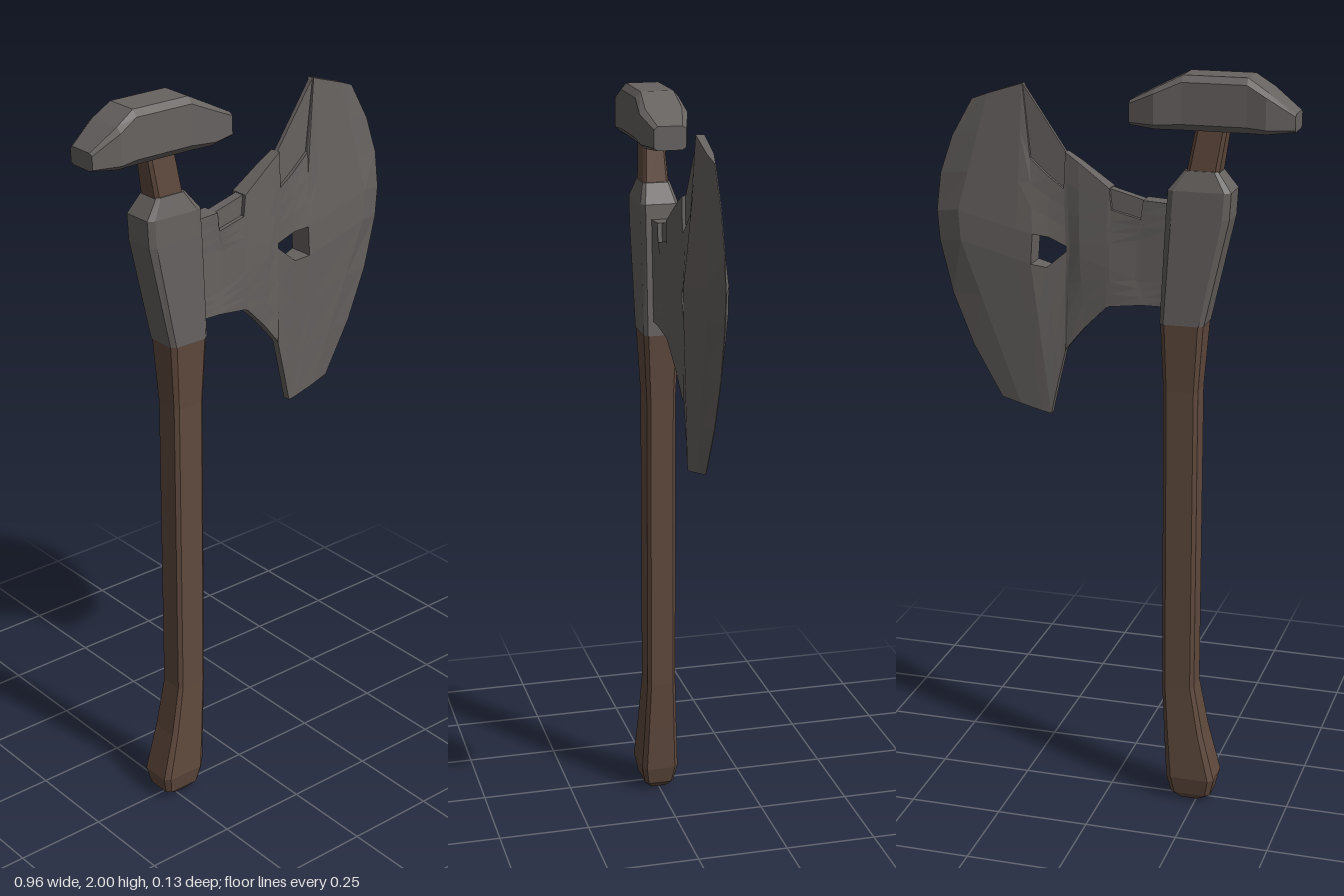
import * as THREE from 'three';

const metal = new THREE.MeshStandardMaterial({ color: 0x666260, flatShading: true });
const wood = new THREE.MeshStandardMaterial({ color: 0x5f493d, flatShading: true });

// Collects quads and fans into a flat-shaded mesh
function meshFrom(name, material, build) {
  const pos = [];
  const quad = (a, b, c, d) => pos.push(...a, ...b, ...c, ...a, ...c, ...d);
  const fan = (ring) => {
    for (let i = 1; i < ring.length - 1; i++) pos.push(...ring[0], ...ring[i], ...ring[i + 1]);
  };
  build(quad, fan);
  const geo = new THREE.BufferGeometry();
  geo.setAttribute('position', new THREE.Float32BufferAttribute(pos, 3));
  geo.computeVertexNormals();
  const mesh = new THREE.Mesh(geo, material);
  mesh.name = name;
  return mesh;
}

// Skins a row of closed rings, which run counter-clockwise about the loft direction
function loft(name, material, rings) {
  return meshFrom(name, material, (quad, fan) => {
    for (let i = 0; i < rings.length - 1; i++) {
      const a = rings[i], b = rings[i + 1], n = a.length;
      for (let k = 0; k < n; k++) quad(a[k], a[(k + 1) % n], b[(k + 1) % n], b[k]);
    }
    fan([...rings[0]].reverse());
    fan(rings[rings.length - 1]);
  });
}

// Box section with chamfered corners
const chamferedBox = (s) => [[1, -s], [1, s], [s, 1], [-s, 1], [-1, s], [-1, -s], [-s, -1], [s, -1]];

// Upright section: height, x range, half depth
const upright = (s) => ([y, x0, x1, hz]) =>
  chamferedBox(s).map(([u, v]) => [(x0 + x1) / 2 + v * (x1 - x0) / 2, y, u * hz]);

// Sideways section: x, y range, half depth
const sideways = (s) => ([x, y0, y1, hz]) =>
  chamferedBox(s).map(([u, v]) => [x, (y0 + y1) / 2 + u * (y1 - y0) / 2, v * hz]);

// Each row runs from heel to horn:
// bottom xy, lower middle xy, upper middle xy, top xy, middle and rim half thickness
const bladeRows = [
  [-0.17, 1.4, -0.17, 1.47, -0.17, 1.58, -0.17, 1.67, 0.026, 0.025],
  [-0.09, 1.4, -0.08, 1.46, -0.08, 1.57, -0.09, 1.675, 0.022, 0.026],
  [-0.085, 1.4, -0.07, 1.465, -0.07, 1.568, -0.085, 1.625, 0.022, 0.026],
  [0, 1.39, 0, 1.49, 0, 1.558, -0.005, 1.645, 0.028, 0.025],
  [0.01, 1.385, 0.01, 1.495, 0.01, 1.557, 0, 1.7, 0.028, 0.025],
  [0.07, 1.325, 0.08, 1.515, 0.08, 1.55, 0.085, 1.762, 0.026, 0.019],
  [0.12, 1.265, 0.11, 1.523, 0.11, 1.545, 0.12, 1.785, 0.016, 0.015],
  [0.125, 1.255, 0.12, 1.525, 0.12, 1.54, 0.125, 1.69, 0.015, 0.015],
  [0.145, 1.17, 0.17, 1.482, 0.165, 1.563, 0.165, 1.72, 0.024, 0.016],
  [0.165, 1.08, 0.21, 1.49, 0.205, 1.57, 0.215, 1.765, 0.034, 0.015],
  [0.19, 1.085, 0.25, 1.5, 0.25, 1.58, 0.235, 1.955, 0.032, 0.011],
  [0.25, 1.1, 0.405, 1.54, 0.41, 1.62, 0.33, 1.925, 0.026, 0.009],
  [0.305, 1.112, 0.472, 1.53, 0.478, 1.61, 0.375, 1.908, 0.001, 0.001],
];

function bladePlate() {
  const last = bladeRows.length - 1;
  const grid = bladeRows.map(([bx, by, lx, ly, hx, hy, tx, ty, mid, rim], i) => {
    const bulge = i === last ? 0.025 : 0;
    const between = (x0, y0, z0, x1, y1, z1) => [0, 1 / 3, 2 / 3, 1].map((t) => [
      x0 + (x1 - x0) * t + bulge * 4 * t * (1 - t), y0 + (y1 - y0) * t, z0 + (z1 - z0) * t]);
    // the rim thins towards the heel
    const heel = i > 6 ? Math.min(rim, 0.011) : rim;
    return [...between(bx, by, heel, lx, ly, mid), ...between(hx, hy, mid, tx, ty, rim)];
  });
  const cols = grid[0].length;
  // the pierced opening takes up the middle cells of two rows
  const solid = (i, j) => i >= 0 && j >= 0 && i < last && j < cols - 1
    && !(j === 3 && (i === 7 || i === 8));
  const back = ([x, y, z]) => [x, y, -z];
  return meshFrom('bladePlate', metal, (quad) => {
    for (let i = 0; i < last; i++) for (let j = 0; j < cols - 1; j++) {
      if (!solid(i, j)) continue;
      const c = [grid[i][j], grid[i + 1][j], grid[i + 1][j + 1], grid[i][j + 1]];
      quad(...c);
      quad(...c.map(back).reverse());
      // walls around the outline and the opening
      [[0, -1], [1, 0], [0, 1], [-1, 0]].forEach(([di, dj], k) => {
        const a = c[k], b = c[(k + 1) % 4];
        if (!solid(i + di, j + dj)) quad(a, back(a), back(b), b);
      });
    }
  });
}

// Thin web left where the rim is chipped
function chip(name, points, half) {
  const shape = new THREE.Shape(points.map(([x, y]) => new THREE.Vector2(x, y)));
  const geo = new THREE.ExtrudeGeometry(shape, { depth: half * 2, bevelEnabled: false });
  geo.translate(0, 0, -half);
  const mesh = new THREE.Mesh(geo, metal);
  mesh.name = name;
  return mesh;
}

export function createModel() {
  const axe = new THREE.Group();
  axe.name = 'axe';

  // Wooden shaft with a flared, rounded foot
  axe.add(loft('handle', wood, [
    [0, -0.26, -0.2, 0.025], [0.02, -0.29, -0.18, 0.042], [0.07, -0.302, -0.168, 0.052],
    [0.2, -0.268, -0.16, 0.046], [0.34, -0.241, -0.152, 0.04], [1.18, -0.241, -0.148, 0.04],
    [1.37, -0.255, -0.14, 0.049],
  ].map(upright(0.78))));
  axe.add(loft('neck', wood, [
    [1.73, -0.283, -0.198, 0.036], [1.89, -0.308, -0.228, 0.027],
  ].map(upright(0.78))));

  // Metal socket around the shaft
  axe.add(loft('collar', metal, [
    [1.36, -0.256, -0.139, 0.05], [1.64, -0.318, -0.153, 0.051],
    [1.71, -0.322, -0.158, 0.051], [1.76, -0.285, -0.198, 0.037],
  ].map(upright(0.8))));

  // Cap across the top of the shaft
  axe.add(loft('hammerCap', metal, [
    [-0.48, 1.87, 1.915, 0.043], [-0.41, 1.863, 1.968, 0.063], [-0.36, 1.863, 2, 0.058],
    [-0.195, 1.863, 2, 0.058], [-0.125, 1.863, 1.965, 0.064], [-0.056, 1.868, 1.93, 0.043],
  ].map(sideways(0.76))));

  // Bearded blade
  const blade = new THREE.Group();
  blade.name = 'blade';
  blade.add(bladePlate());
  blade.add(chip('smallChip', [[-0.095, 1.615], [0.003, 1.635], [0.003, 1.699], [-0.095, 1.672]], 0.014));
  blade.add(chip('largeChip', [[0.12, 1.68], [0.222, 1.75], [0.235, 1.953], [0.12, 1.783]], 0.006));
  axe.add(blade);
  return axe;
}
